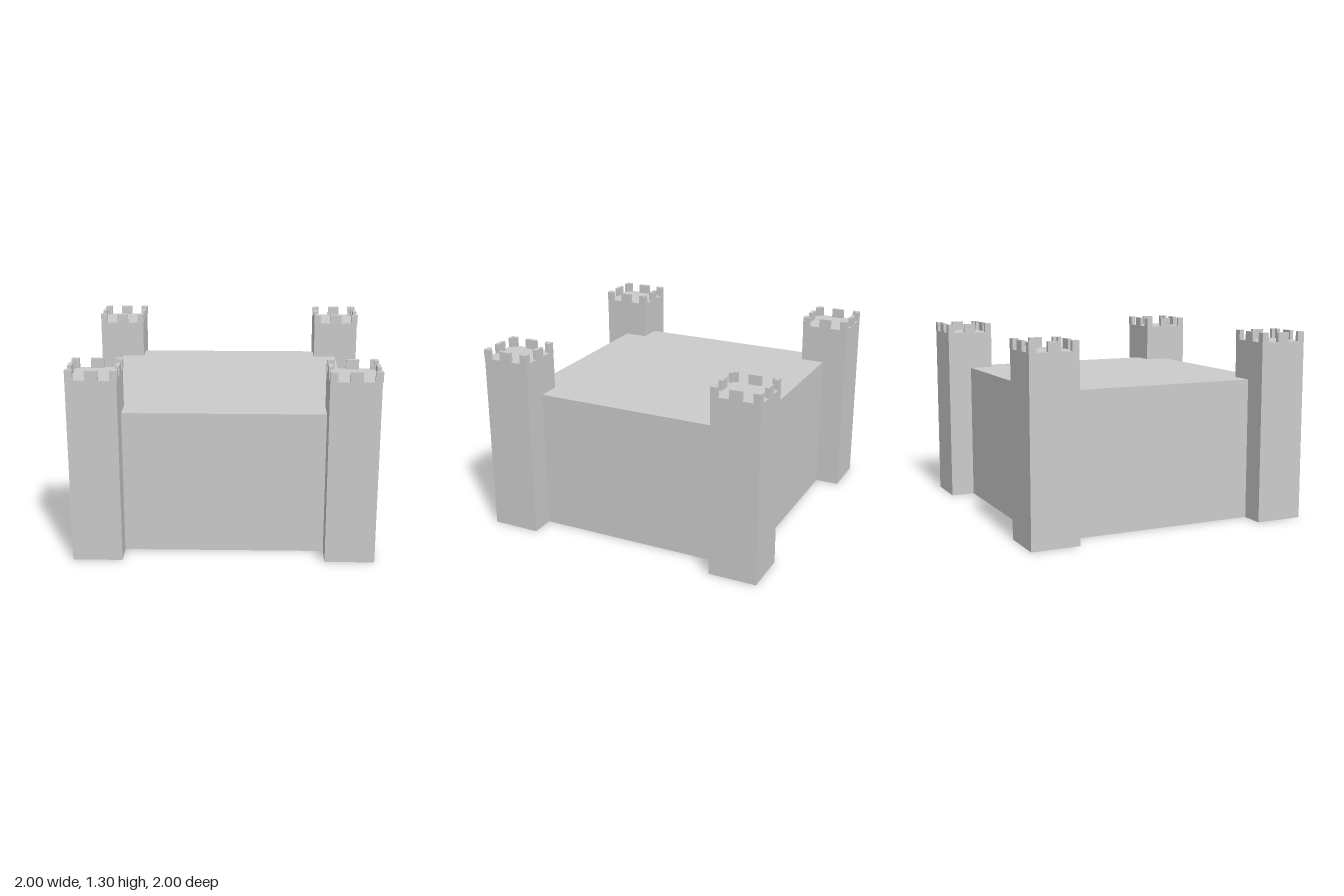
import * as THREE from 'three';

const material = new THREE.MeshStandardMaterial({ color: 0xcccccc, flatShading: true });
const TOWER = 0.333, BODY_TOP = 1.235, TOP = 1.3;
const ARM = 0.049, MID = 0.084, THICK = 0.026;
const LIP = 0.005; // the battlements overhang the tower body slightly on +x

function box(name, w, h, d, x, y, z) {
  const mesh = new THREE.Mesh(new THREE.BoxGeometry(w, h, d), material);
  mesh.name = name;
  mesh.position.set(x, y + h / 2, z);
  return mesh;
}

// L-shaped corner merlon with its outer corner at the origin
function cornerGeometry() {
  const shape = new THREE.Shape([
    [0, 0], [ARM, 0], [ARM, THICK], [THICK, THICK], [THICK, ARM], [0, ARM],
  ].map(([x, y]) => new THREE.Vector2(x, y)));
  const g = new THREE.ExtrudeGeometry(shape, { depth: TOP - BODY_TOP, bevelEnabled: false });
  return g.rotateX(-Math.PI / 2).translate(-TOWER / 2, BODY_TOP, TOWER / 2);
}

function createTower(name) {
  const tower = new THREE.Group();
  tower.name = name;
  tower.add(box('towerBody', TOWER - LIP, BODY_TOP, TOWER, -LIP / 2, 0, 0));

  // One corner merlon and one middle merlon per side
  const corner = cornerGeometry();
  for (let i = 0; i < 4; i++) {
    const side = new THREE.Group();
    side.name = 'battlementSide';
    side.rotation.y = i * Math.PI / 2;
    const cornerMerlon = new THREE.Mesh(corner, material);
    cornerMerlon.name = 'cornerMerlon';
    side.add(cornerMerlon);
    side.add(box('middleMerlon', MID, TOP - BODY_TOP, THICK, 0, BODY_TOP, (TOWER - THICK) / 2));
    tower.add(side);
  }
  return tower;
}

export function createModel() {
  const castle = new THREE.Group();
  castle.name = 'castle';

  // Central block
  castle.add(box('keep', 1.662, 0.97, 1.664, -0.003, 0, 0));

  // Corner towers
  const c = 1 - TOWER / 2;
  for (const [x, xName] of [[-c, 'Right'], [c, 'Left']]) {
    for (const [z, zName] of [[-c, 'back'], [c, 'front']]) {
      const tower = createTower(`${zName}${xName}Tower`);
      tower.position.set(x, 0, z);
      castle.add(tower);
    }
  }
  return castle;
}
